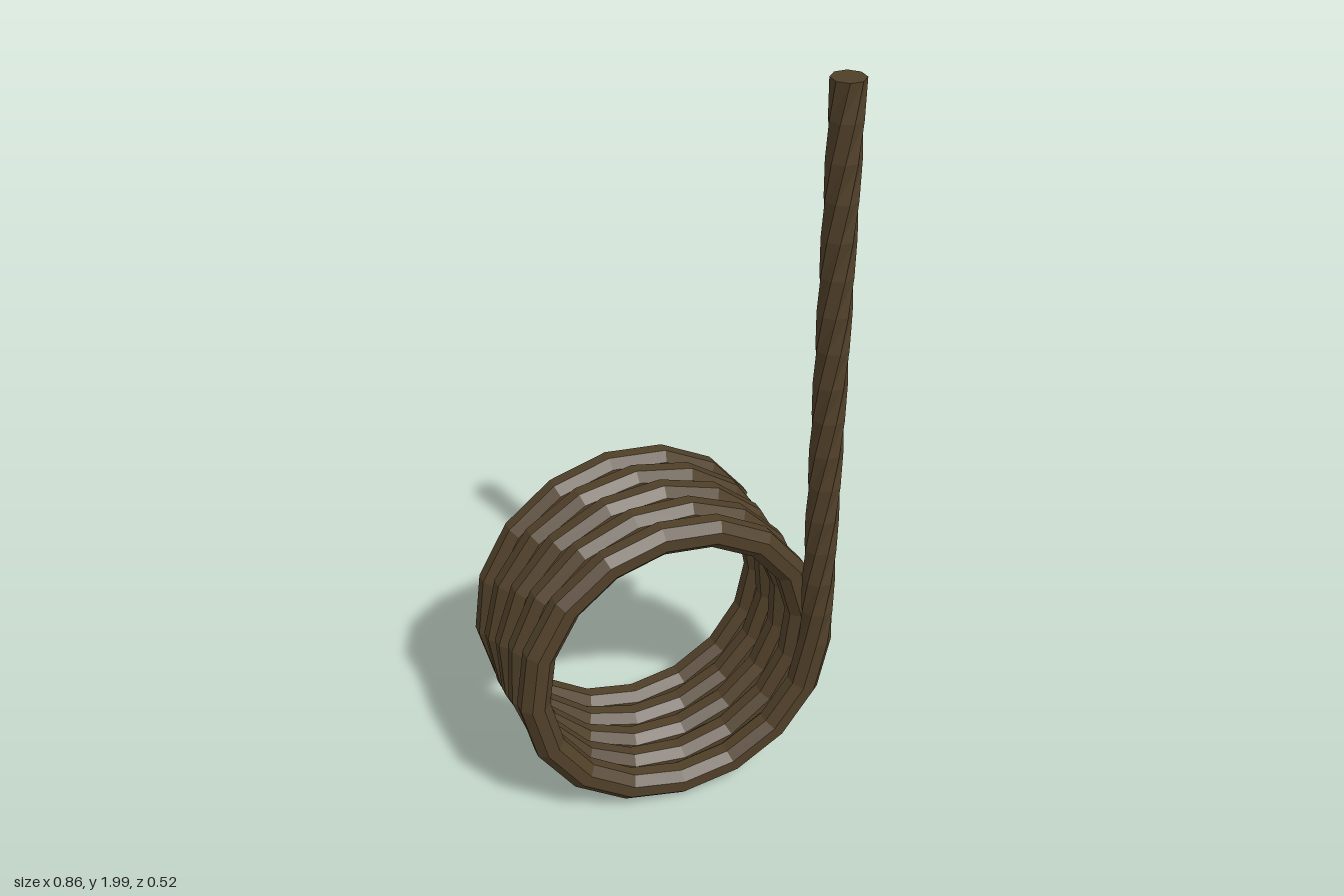
import * as THREE from 'three';

const SIDES = 8, WIRE = 0.043, RADIUS = 0.388, CENTER_Y = 0.435;
const FRONT_Z = 0.215, PITCH = 0.0885, TURNS = 4.92;

// Sweeps a polygonal section along rings of { center, u, v, roll }, capping both ends.
function sweep(rings) {
  const pos = [], index = [];
  for (const { center, u, v, roll } of rings) {
    for (let j = 0; j < SIDES; j++) {
      const a = ((j + 0.5) / SIDES) * Math.PI * 2 + roll;
      const p = center.clone()
        .addScaledVector(u, WIRE * Math.cos(a))
        .addScaledVector(v, WIRE * Math.sin(a));
      pos.push(p.x, p.y, p.z);
    }
  }
  const last = (rings.length - 1) * SIDES;
  for (let i = 0; i < last; i += SIDES) {
    for (let j = 0; j < SIDES; j++) {
      const a = i + j, b = i + (j + 1) % SIDES;
      index.push(a, b, b + SIDES, a, b + SIDES, a + SIDES);
    }
  }
  for (let j = 1; j < SIDES - 1; j++) {
    index.push(0, j + 1, j, last, last + j, last + j + 1);
  }
  const geometry = new THREE.BufferGeometry();
  geometry.setAttribute('position', new THREE.Float32BufferAttribute(pos, 3));
  geometry.setIndex(index);
  geometry.computeVertexNormals();
  return geometry;
}

export function createModel() {
  const group = new THREE.Group();
  group.name = 'torsionSpring';
  const material = new THREE.MeshStandardMaterial({ color: 0x4f3f28, flatShading: true });
  const zAxis = new THREE.Vector3(0, 0, 1);

  // Straight leg, from its top down to the coil, with a slight twist
  const legRings = [];
  const legSteps = 16;
  for (let i = 0; i <= legSteps; i++) {
    const t = i / legSteps;
    legRings.push({
      center: new THREE.Vector3(RADIUS, THREE.MathUtils.lerp(2, CENTER_Y, t), FRONT_Z),
      u: new THREE.Vector3(1, 0, 0),
      v: zAxis,
      roll: -(1 - t) * Math.PI * 2,
    });
  }

  // Coil, winding down from the leg and backwards
  const coilRings = [];
  const coilSteps = 80;
  for (let i = 0; i <= coilSteps; i++) {
    const turn = (i / coilSteps) * TURNS;
    const a = -turn * Math.PI * 2;
    const u = new THREE.Vector3(Math.cos(a), Math.sin(a), 0);
    const center = u.clone().multiplyScalar(RADIUS);
    center.y += CENTER_Y;
    center.z = FRONT_Z - PITCH * turn;
    coilRings.push({ center, u, v: zAxis, roll: 0 });
  }

  for (const [name, rings] of [['leg', legRings], ['coil', coilRings]]) {
    const mesh = new THREE.Mesh(sweep(rings), material);
    mesh.name = name;
    group.add(mesh);
  }
  return group;
}
